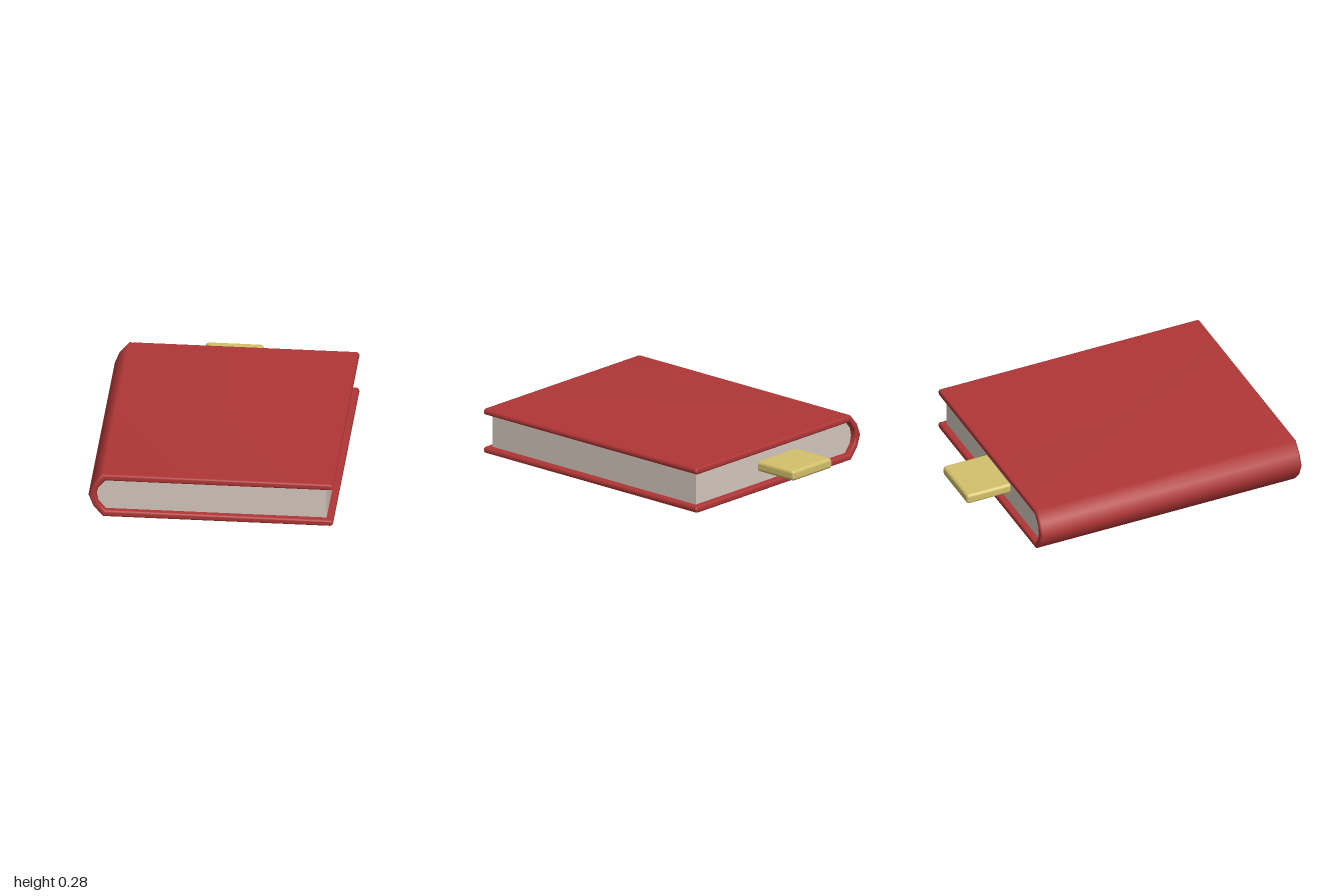
import * as THREE from 'three';
import { mergeVertices } from 'three/addons/utils/BufferGeometryUtils.js';
import { RoundedBoxGeometry } from 'three/addons/geometries/RoundedBoxGeometry.js';

const H = 0.285, MID = H / 2;

// Mirrors the upper half of an open profile below the middle height
const mirrored = (pts) => pts.map(([x, y]) => [x, H - y]).reverse();

function shapeFrom(pts) {
  return new THREE.Shape(pts.map(([x, y]) => new THREE.Vector2(x, y)));
}

export function createModel() {
  const red = new THREE.MeshStandardMaterial({ name: 'red cover', color: 0xb03636 });
  const paper = new THREE.MeshStandardMaterial({ name: 'paper', color: 0xd3c7bd });
  const gold = new THREE.MeshStandardMaterial({ name: 'gold ribbon', color: 0xd3c06a });
  const book = new THREE.Group();
  book.name = 'book';
  const add = (name, geometry, material) => {
    const mesh = new THREE.Mesh(geometry, material);
    mesh.name = name;
    book.add(mesh);
    return mesh;
  };

  // Cover: C-shaped section with rounded fore-edges and a faceted spine
  const outer = [[0.73, H], [-0.66, H], [-0.718, 0.217]];
  const inner = [[-0.70, MID], [-0.69, 0.19], [-0.645, 0.245], [0.73, 0.245]];
  const edge = [[0.742, 0.251], [0.747, 0.265], [0.742, 0.279]];
  const lower = mirrored(outer);
  const section = [
    ...outer, [-0.748, MID], ...lower,
    ...mirrored(edge), ...mirrored(inner.slice(1)),
    ...inner, ...edge,
  ];
  const bevel = 0.012;
  let cover = new THREE.ExtrudeGeometry(shapeFrom(section), {
    depth: 1.75 - 2 * bevel, bevelEnabled: true, bevelThickness: bevel,
    bevelSize: bevel, bevelOffset: -bevel, bevelSegments: 3,
  });
  cover.translate(0, 0, -0.75 + bevel);
  // Shared vertices give the cover smooth, area-weighted normals
  cover.deleteAttribute('normal');
  cover.deleteAttribute('uv');
  cover = mergeVertices(cover, 1e-5);
  cover.computeVertexNormals();
  add('cover', cover, red);

  // Page block, slightly sunk into the cover
  const top = [[0.705, 0.25], [-0.645, 0.25], [-0.693, 0.191]];
  const pages = new THREE.ExtrudeGeometry(
    shapeFrom([...top, [-0.703, MID], ...mirrored(top)]),
    { depth: 1.67, bevelEnabled: false });
  pages.translate(0, 0, -0.71);
  add('pages', pages, paper);

  // Bookmark sticking out of the back edge
  add('bookmark', new RoundedBoxGeometry(0.355, 0.066, 0.36, 3, 0.02), gold)
    .position.set(-0.037, 0.145, -0.82);

  return book;
}
